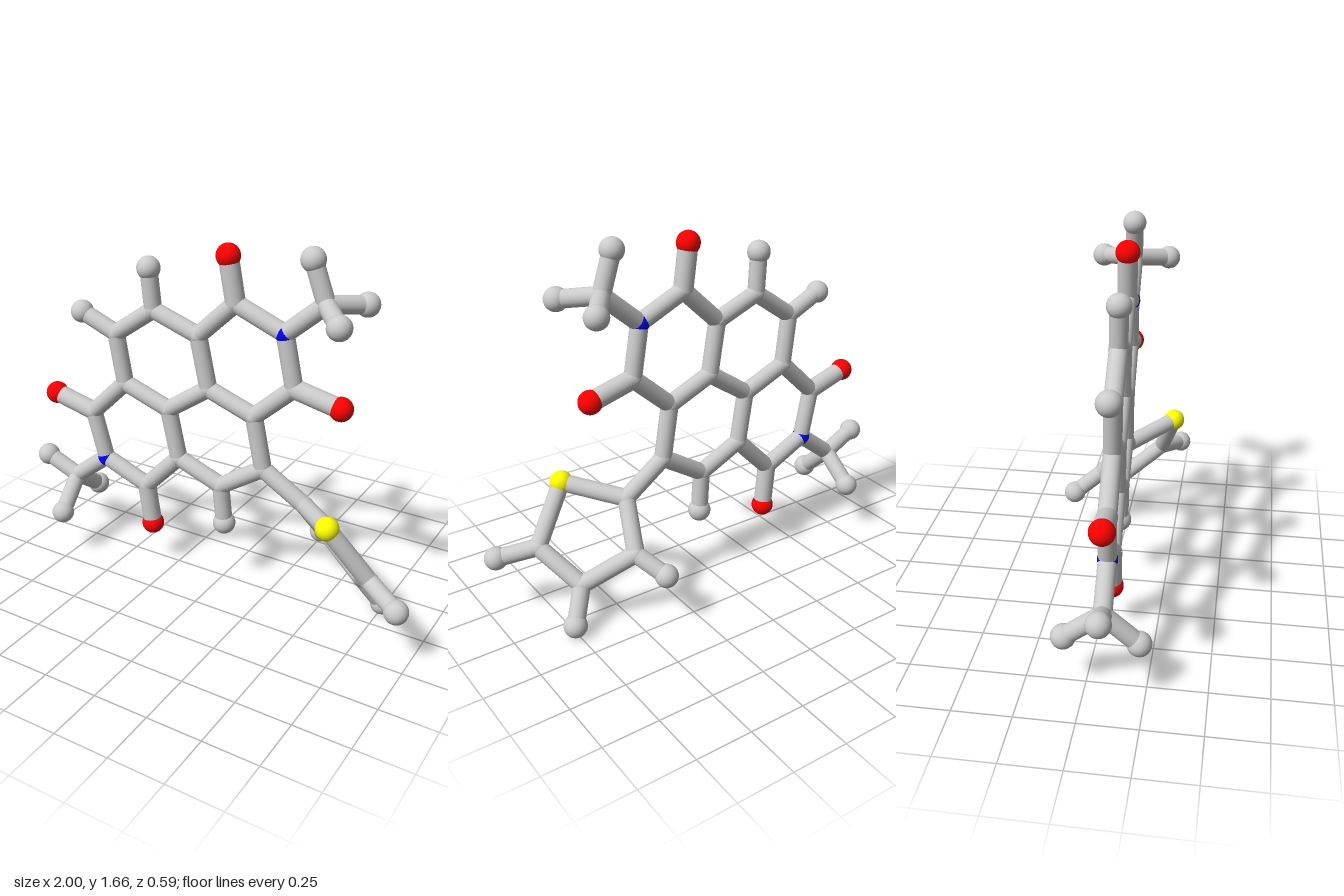
import * as THREE from 'three';

const grey = new THREE.MeshStandardMaterial({ color: 0xcccccc });
const red = new THREE.MeshStandardMaterial({ color: 0xff0000 });
const blue = new THREE.MeshStandardMaterial({ color: 0x0000ff });
const yellow = new THREE.MeshStandardMaterial({ color: 0xffff00 });

// radius and material of each kind of atom
const KINDS = {
  C: ['carbon', 0.041, grey],
  H: ['hydrogen', 0.052, grey],
  O: ['oxygen', 0.052, red],
  N: ['nitrogen', 0.043, blue],
  S: ['sulfur', 0.051, yellow],
};

// atoms: x, y and, off the flat ring sheet, z; the first letter is the kind
const ATOMS = {
  // four fused rings
  Ca: [-0.51, 1.15], Cb: [-0.31, 1.29], Cc: [-0.09, 1.21], Cd: [0.09, 1.38],
  N1: [0.315, 1.285], Ce: [0.36, 1.05], Cf: [0.175, 0.885], Cg: [-0.045, 0.97],
  Ch: [-0.25, 0.83], Ci: [-0.475, 0.915], Cj: [-0.66, 0.735], N2: [-0.605, 0.505],
  Ck: [-0.385, 0.41], Cl: [-0.205, 0.595], Cm: [0.01, 0.505], Cn: [0.22, 0.64],
  // sheet ends
  Ha: [-0.685, 1.225], Hb: [-0.325, 1.475], Hm: [0.025, 0.315],
  Od: [0.058, 1.578], Oe: [0.57, 1.0], Oj: [-0.865, 0.79], Ok: [-0.36, 0.21],
  // two methyl groups
  Cp: [0.49, 1.435], Hp1: [0.43, 1.61], Hp2: [0.615, 1.405, 0.18], Hp3: [0.6, 1.41, -0.125],
  Cq: [-0.785, 0.365], Hq1: [-0.95, 0.44], Hq2: [-0.77, 0.23, 0.22], Hq3: [-0.785, 0.245, -0.085],
  // tilted five-sided ring
  Cr: [0.42, 0.51], S1: [0.625, 0.56, 0.225], Cs: [0.79, 0.325, 0.15],
  Ct: [0.685, 0.195, -0.037], Cu: [0.465, 0.315, -0.125],
  Hs: [0.95, 0.28, 0.24], Ht: [0.76, 0.053, -0.105], Hu: [0.385, 0.238, -0.245],
};

// bonds as chains of neighbouring atoms
const CHAINS = [
  'Ca Cb Cc Cg Ch Ci Ca', 'Cc Cd N1 Ce Cf Cg', 'Ci Cj N2 Ck Cl Ch', 'Cl Cm Cn Cf',
  'Ca Ha', 'Cb Hb', 'Cm Hm', 'Cd Od', 'Ce Oe', 'Cj Oj', 'Ck Ok',
  'N1 Cp Hp1', 'Hp2 Cp Hp3', 'N2 Cq Hq1', 'Hq2 Cq Hq3',
  'Cn Cr S1 Cs Ct Cu Cr', 'Cs Hs', 'Ct Ht', 'Cu Hu',
];

const UP = new THREE.Vector3(0, 1, 0);

// the flat rings lie on a slightly tilted plane
function position(name) {
  const [x, y, z = 0.028 - 0.05 * x + 0.02 * y] = ATOMS[name];
  return new THREE.Vector3(x, y, z);
}

function makeBond(from, to) {
  const a = position(from), b = position(to);
  const radius = to[0] === 'O' ? 0.043 : 0.039;
  const dir = b.clone().sub(a);
  const bond = new THREE.Mesh(new THREE.CylinderGeometry(radius, radius, dir.length(), 20, 1, true), grey);
  bond.position.copy(a).add(b).multiplyScalar(0.5);
  bond.quaternion.setFromUnitVectors(UP, dir.normalize());
  bond.name = 'bond';
  return bond;
}

export function createModel() {
  const model = new THREE.Group();
  model.name = 'molecule';
  const atoms = new THREE.Group();
  atoms.name = 'atoms';
  const bonds = new THREE.Group();
  bonds.name = 'bonds';
  model.add(atoms, bonds);

  for (const key of Object.keys(ATOMS)) {
    const [name, radius, material] = KINDS[key[0]];
    const atom = new THREE.Mesh(new THREE.SphereGeometry(radius, 24, 16), material);
    atom.position.copy(position(key));
    atom.name = name;
    atoms.add(atom);
  }

  for (const chain of CHAINS) {
    const names = chain.split(' ');
    for (let i = 1; i < names.length; i++) bonds.add(makeBond(names[i - 1], names[i]));
  }
  return model;
}
